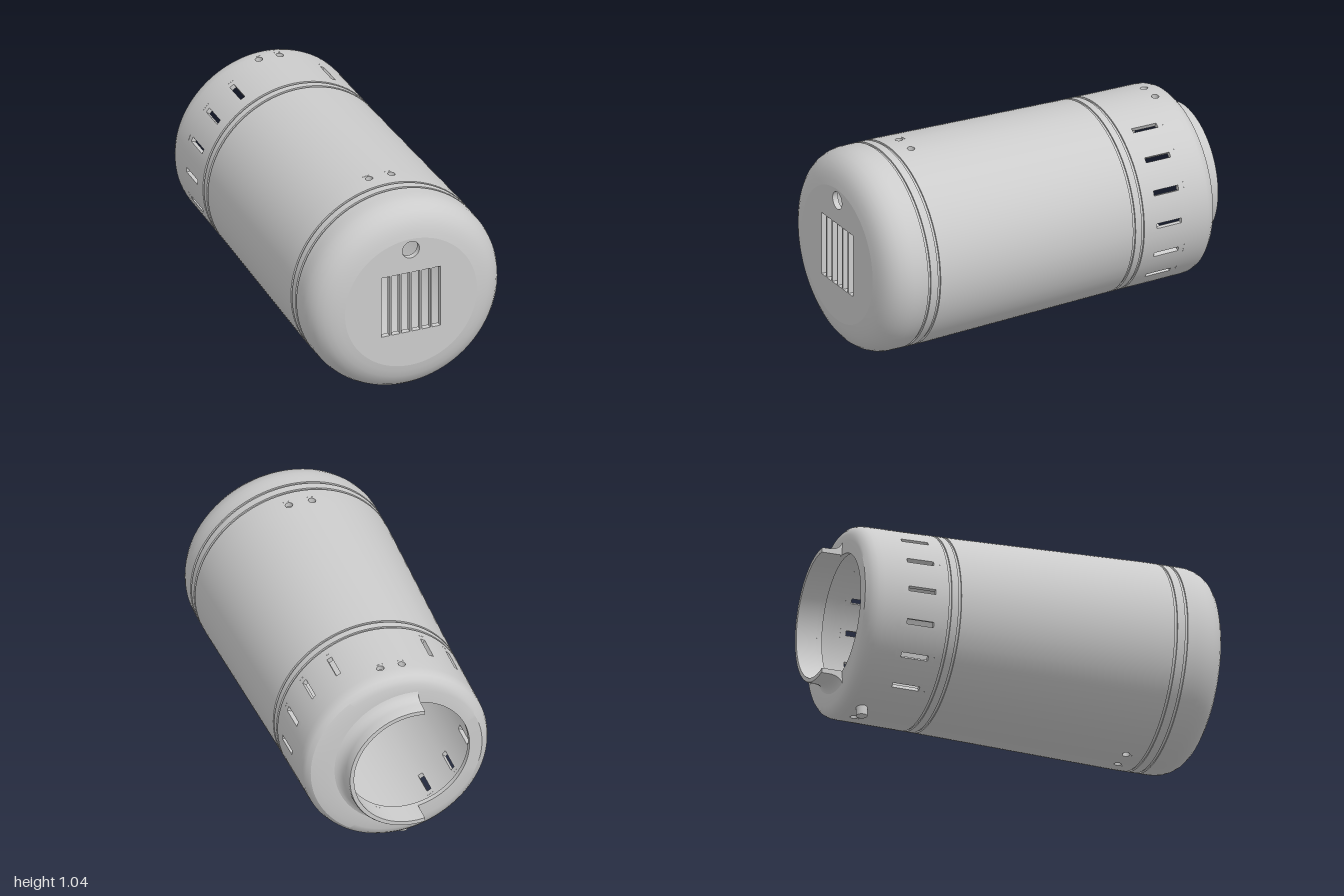
import * as THREE from 'three';
import { toCreasedNormals } from 'three/addons/utils/BufferGeometryUtils.js';

const material = new THREE.MeshStandardMaterial({ color: 0xcccccc, side: THREE.DoubleSide });
const SEG = 108, STEP = (Math.PI * 2) / SEG; // divisions around the housing
const WALL = 0.025, AXIS_Y = 0.525, NECK_X = -0.05, CUT_X = -0.1;

// Outer radius of the tapered barrel at a given z
function barrelRadius(z) {
  if (z >= 0.65) return 0.52;
  if (z >= -0.41) return THREE.MathUtils.mapLinear(z, -0.41, 0.65, 0.49, 0.52);
  return THREE.MathUtils.mapLinear(z, -0.81, -0.41, 0.484, 0.49);
}

// Surface through a grid of points; cells may be left out
function gridSurface(rows, cols, point, skip = () => false) {
  const pos = [], index = [];
  for (let i = 0; i < rows; i++)
    for (let j = 0; j <= cols; j++) pos.push(...point(i, j));
  for (let i = 0; i < rows - 1; i++)
    for (let j = 0; j < cols; j++) {
      if (skip(i, j)) continue;
      const a = i * (cols + 1) + j, b = a + 1, d = a + cols + 1, c = d + 1;
      index.push(a, d, c, a, c, b);
    }
  const g = new THREE.BufferGeometry();
  g.setAttribute('position', new THREE.Float32BufferAttribute(pos, 3));
  g.setIndex(index);
  return toCreasedNormals(g, 0.5);
}

function rectPath(target, w, h, x = 0, y = 0) {
  target.moveTo(x - w / 2, y - h / 2);
  target.lineTo(x + w / 2, y - h / 2);
  target.lineTo(x + w / 2, y + h / 2);
  target.lineTo(x - w / 2, y + h / 2);
  target.closePath();
  return target;
}

// Small wall panel with an opening, bent onto the barrel
function bentPanel({ col, z, half }, hole) {
  const r0 = barrelRadius(z);
  const shape = rectPath(new THREE.Shape(), 2 * STEP * r0, 2 * half);
  shape.holes.push(hole);
  const g = new THREE.ExtrudeGeometry(shape, { depth: WALL, bevelEnabled: false, curveSegments: 10 });
  const p = g.attributes.position, n = g.attributes.normal;
  for (let i = 0; i < p.count; i++) {
    const a = col * STEP + p.getX(i) / r0, pz = z + p.getY(i);
    const r = barrelRadius(pz) - WALL + p.getZ(i);
    const c = Math.cos(a), s = Math.sin(a);
    const nt = n.getX(i), nz = n.getY(i), nr = n.getZ(i);
    p.setXYZ(i, r * c, r * s, pz);
    n.setXYZ(i, nr * c - nt * s, nr * s + nt * c, nz);
  }
  return g;
}

export function createModel() {
  const model = new THREE.Group();
  model.name = 'motorHousing';
  const body = new THREE.Group();
  body.name = 'housing';
  body.position.y = AXIS_Y;
  model.add(body);
  const add = (name, geometry) => {
    const mesh = new THREE.Mesh(geometry, material);
    mesh.name = name;
    body.add(mesh);
    return mesh;
  };

  // Places of the vent slots and screw holes
  const slots = [], screwHoles = [];
  for (let k = -3; k <= 3; k++)
    for (const side of [0, SEG / 2])
      slots.push({ col: (side + 6 * k + SEG) % SEG, z: -0.61, half: 0.1 });
  for (const z of [0.615, -0.775])
    for (const col of [25, 29, 79, 83]) screwHoles.push({ col, z, half: 0.03 });
  const panels = [...slots, ...screwHoles];

  // Closed wall profile: [radius, z, centre x]
  const breaks = [0.645, 0.585, -0.51, -0.71, -0.745, -0.805];
  const barrel = breaks.map(z => [barrelRadius(z), z]);
  for (const g of [0.768, 0.713, -0.412, -0.462]) {
    const r = barrelRadius(g);
    barrel.push([r, g + 0.007], [r - 0.008, g + 0.0069], [r - 0.008, g - 0.0069], [r, g - 0.007]);
  }
  barrel.sort((a, b) => b[1] - a[1]);
  const profile = [
    [0.355, 1], [0.385, 0.994], [0.42, 0.984], [0.452, 0.968], [0.48, 0.945],
    [0.5, 0.917], [0.513, 0.885], [0.519, 0.855], [0.52, 0.82],
    ...barrel,
    [0.482, -0.835], [0.473, -0.86], [0.455, -0.878], [0.43, -0.887, -0.01],
    [0.385, -0.892, NECK_X], [0.32, -0.893, NECK_X], [0.32, -0.866, NECK_X],
    [0.36, -0.865, NECK_X], [0.425, -0.858, -0.01], [0.45, -0.838],
    ...breaks.slice().reverse().map(z => [barrelRadius(z) - WALL, z]),
    [0.495, 0.83], [0.485, 0.89], [0.46, 0.93], [0.42, 0.957], [0.345, 0.97],
  ];
  const inPanel = (i, j) => {
    const zm = (profile[i][1] + profile[i + 1][1]) / 2;
    return panels.some(p => Math.abs(zm - p.z) < p.half && (j === p.col || j === (p.col + SEG - 1) % SEG));
  };
  add('barrelShell', gridSurface(profile.length, SEG, (i, j) => {
    const [r, z, cx = 0] = profile[i];
    return [cx + r * Math.cos(j * STEP), r * Math.sin(j * STEP), z];
  }, inPanel));

  // Vent slots and screw holes
  for (const s of slots) add('ventSlot', bentPanel(s, rectPath(new THREE.Path(), 0.026, 0.14)));
  for (const h of screwHoles)
    add('screwHole', bentPanel(h, new THREE.Path().absarc(0, 0, 0.019, 0, Math.PI * 2, true)));

  // Front plate with grille and cable hole
  const plate = new THREE.Shape().absarc(0, 0, 0.355, 0, Math.PI * 2, false);
  for (let k = 0; k < 6; k++)
    plate.holes.push(rectPath(new THREE.Path(), 0.045, 0.333, (k - 2.5) * 0.0543, 0.001));
  plate.holes.push(new THREE.Path().absarc(0, 0.295, 0.046, 0, Math.PI * 2, true));
  const plateGeo = new THREE.ExtrudeGeometry(plate, { depth: 0.03, bevelEnabled: false, curveSegments: 54 });
  add('frontGrille', plateGeo.translate(0, 0, 0.97));

  // Flared collar at the back, cut off flat on one side
  const collar = [
    [0.395, -0.888], [0.378, -0.895], [0.363, -0.907], [0.352, -0.924], [0.346, -0.947],
    [0.345, -0.993], [0.341, -1], [0.32, -1], [0.32, -0.888],
  ];
  const cut = CUT_X - NECK_X;
  add('rearCollar', gridSurface(collar.length, 72, (i, j) => {
    const [r, z] = collar[i];
    const a = Math.acos(cut / r) * (j / 36 - 1);
    return [NECK_X + r * Math.cos(a), r * Math.sin(a), z];
  }));
  for (const side of [1, -1]) {
    const end = new THREE.Shape(collar.map(([r, z]) => new THREE.Vector2(-z, side * Math.sqrt(r * r - cut * cut))));
    const mesh = add('collarEnd', new THREE.ShapeGeometry(end));
    mesh.rotation.y = Math.PI / 2;
    mesh.position.x = CUT_X;
  }

  // Locating pin underneath
  const pin = add('locatingPin', new THREE.CylinderGeometry(0.028, 0.028, 0.07, 24));
  pin.position.set(-0.058, 0.035 - AXIS_Y, -0.775);

  return model;
}
